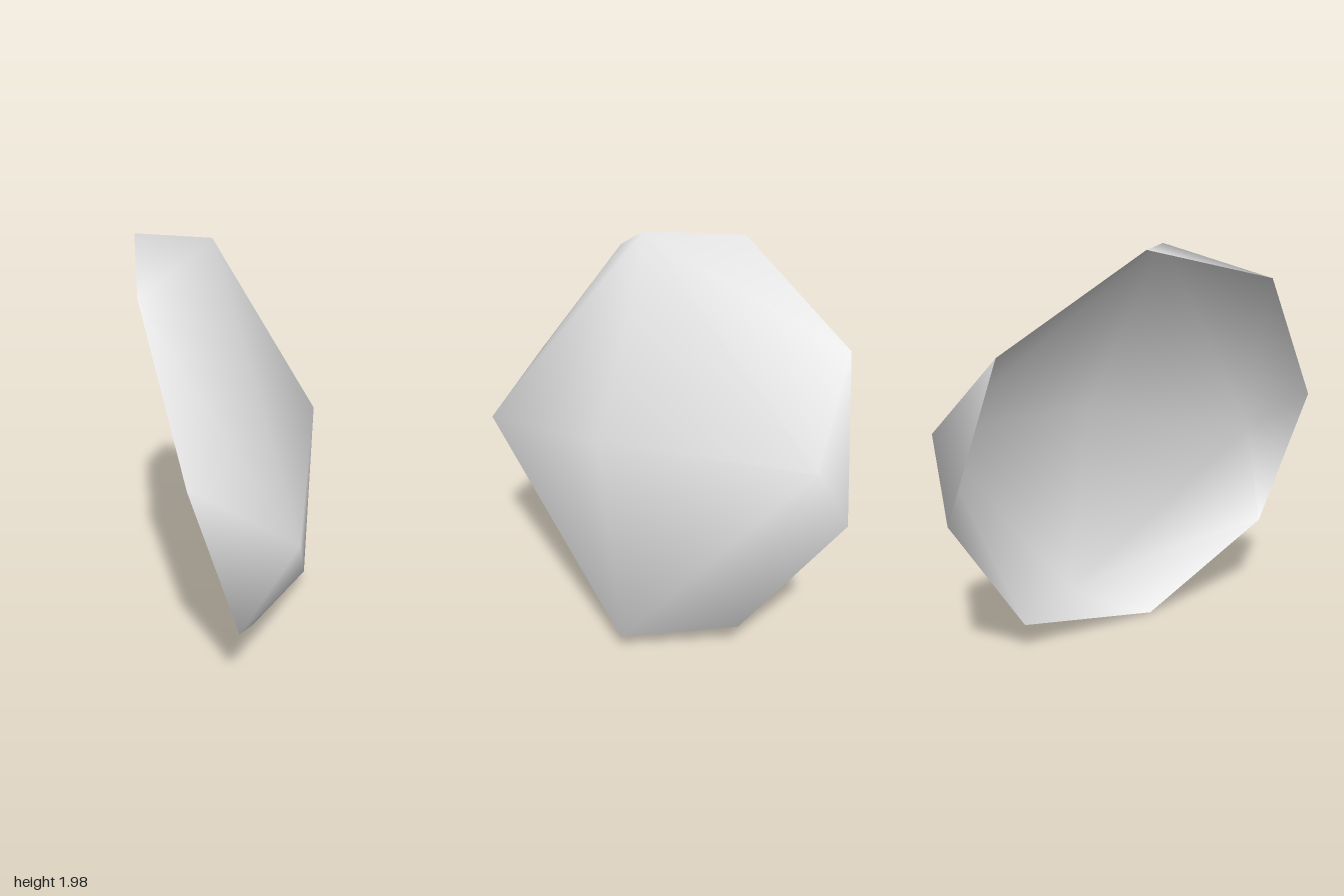
import * as THREE from 'three';
import { mergeVertices } from 'three/addons/utils/BufferGeometryUtils.js';
import { ConvexGeometry } from 'three/addons/geometries/ConvexGeometry.js';

// Plane of the open rim: x for a given height and depth
const rimX = (y, z) => 0.12 - 0.28 * y + 0.04 * z;

// Corners around the open rim, as [y, z]
const rimCorners = [
  [1.2, 1.0], [1.82, 0.55], [1.95, -0.19], [1.54, -0.83],
  [0.81, -1.0], [0.16, -0.58], [0, 0.2], [0.45, 0.87],
];

// Corners of the bulging side
const bulgeCorners = [
  [-0.07, 1.98, 0.13], [0.11, 1.16, -0.965], [0.26, 0.93, 0.95],
  [0.425, 1.13, -0.02], [0.43, 0.1, -0.14],
];

export function createModel() {
  const group = new THREE.Group();
  group.name = 'shell';
  const shellGrey = new THREE.MeshStandardMaterial({ color: 0xe5e5e5, side: THREE.DoubleSide });
  shellGrey.name = 'shell grey';

  const points = [
    ...rimCorners.map(([y, z]) => new THREE.Vector3(rimX(y, z), y, z)),
    ...bulgeCorners.map((p) => new THREE.Vector3(...p)),
  ];
  const hull = new ConvexGeometry(points).getAttribute('position');

  // Keep the bulging faces only, leaving the hollow open at the rim
  const positions = [];
  for (let i = 0; i < hull.count; i += 3) {
    const corners = [0, 1, 2].map((k) => new THREE.Vector3().fromBufferAttribute(hull, i + k));
    const acrossRim = corners.every((p) => Math.abs(p.x - rimX(p.y, p.z)) < 1e-3);
    if (!acrossRim) for (const p of corners) positions.push(p.x, p.y, p.z);
  }

  // Smooth normals over the whole shell
  const faces = new THREE.BufferGeometry();
  faces.setAttribute('position', new THREE.Float32BufferAttribute(positions, 3));
  const geometry = mergeVertices(faces);
  geometry.computeVertexNormals();

  const bowl = new THREE.Mesh(geometry, shellGrey);
  bowl.name = 'hollowBowl';
  group.add(bowl);
  return group;
}
